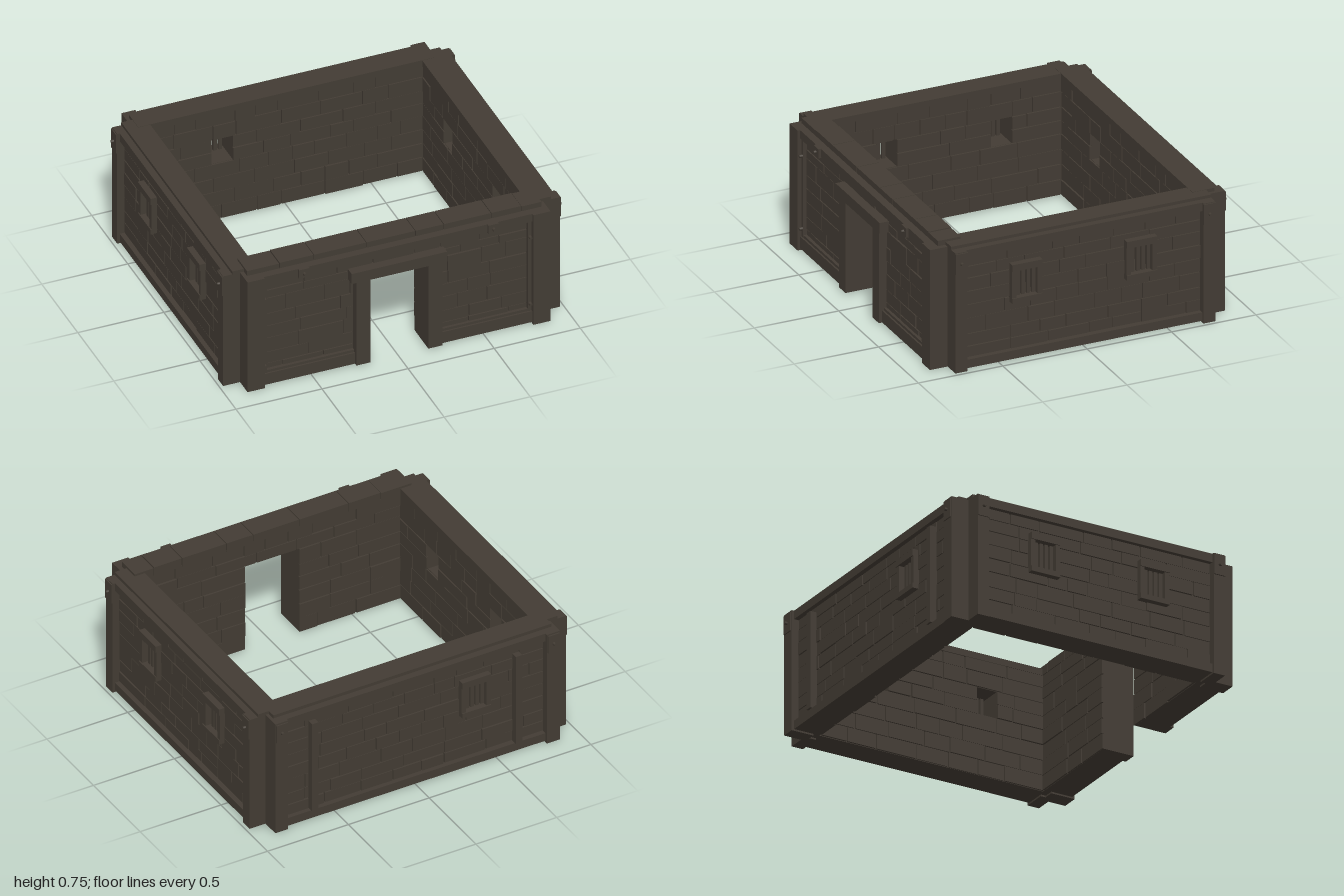
import * as THREE from 'three';
import { mergeGeometries } from 'three/addons/utils/BufferGeometryUtils.js';

const stone = new THREE.MeshStandardMaterial({ color: 0x433c34 });
stone.name = 'dark stone';

// Small seeded generator for the irregular masonry
let seed = 7;
const rnd = () => (seed = (seed * 16807) % 2147483647) / 2147483647;

// Box geometry given by its limits
function span(x0, x1, y0, y1, z0, z1) {
  return new THREE.BoxGeometry(x1 - x0, y1 - y0, z1 - z0)
    .translate((x0 + x1) / 2, (y0 + y1) / 2, (z0 + z1) / 2);
}

function add(group, name, geos) {
  const mesh = new THREE.Mesh(Array.isArray(geos) ? mergeGeometries(geos) : geos, stone);
  mesh.name = name;
  group.add(mesh);
}

// Courses of bricks between u0 and u1, left out where an opening cuts the course
function bricks(u0, u1, rows, openings, zBack, zFace) {
  const out = [], gap = 0.004, dir = Math.sign(zFace - zBack);
  for (let r = 0; r < rows.length - 1; r++) {
    const y0 = rows[r], y1 = rows[r + 1];
    let runs = [[u0, u1]];
    for (const o of openings) {
      if (o.y1 <= y0 + 0.001 || o.y0 >= y1 - 0.001) continue;
      runs = runs.flatMap(([a, b]) => (o.x1 <= a || o.x0 >= b) ? [[a, b]]
        : [[a, o.x0], [o.x1, b]].filter(([c, d]) => d - c > 0.01));
    }
    for (const [a, b] of runs) {
      let x = a;
      while (x < b - 0.001) {
        let next = x + 0.12 + 0.16 * rnd();
        if (b - next < 0.08) next = b;
        const face = zFace - dir * 0.005 * rnd();
        const left = x === a ? 0 : gap, right = next === b ? 0 : gap;
        const low = gap * rnd(), high = gap * rnd();
        out.push(span(x + left, next - right, y0 + low, y1 - high,
          Math.min(zBack, face), Math.max(zBack, face)));
        x = next;
      }
    }
  }
  return out;
}

// Wall body with its window holes and door notch cut through
function wallBody(hw, top, windows, door, z0, z1) {
  const pts = [[-hw, 0.01]];
  if (door) pts.push([door.x0, 0.01], [door.x0, door.y1], [door.x1, door.y1], [door.x1, 0.01]);
  pts.push([hw, 0.01], [hw, top], [-hw, top]);
  const shape = new THREE.Shape(pts.map(p => new THREE.Vector2(...p)));
  for (const w of windows) {
    shape.holes.push(new THREE.Path([[w.x0, w.y0], [w.x0, w.y1], [w.x1, w.y1], [w.x1, w.y0]]
      .map(p => new THREE.Vector2(...p))));
  }
  return new THREE.ExtrudeGeometry(shape, { depth: z1 - z0, bevelEnabled: false }).translate(0, 0, z0);
}

// Iron plate with a round bolt head
function bracket(x, y, w, h, z) {
  return [span(x - w / 2, x + w / 2, y - h / 2, y + h / 2, z - 0.03, z), bolt(x, y, z)];
}
function bolt(x, y, z) {
  return new THREE.CylinderGeometry(0.008, 0.011, 0.03, 8).rotateX(Math.PI / 2).translate(x, y, z);
}

// One wall, facing +z at the given distances from the middle
function makeWall({ name, angle, hw, inner, innerHw, face, col, windowXs = [], door }) {
  const g = new THREE.Group();
  g.name = name;
  const windows = windowXs.map(x => ({ x0: x - 0.063, x1: x + 0.063, y0: 0.37, y1: 0.53 }));
  const openings = door ? [door] : windows;
  const head = door ? 0.55 : 0.53;
  const beam = face + 0.025, post = face + 0.04, c = hw - col;

  add(g, 'wallCore', wallBody(hw - 0.005, 0.7, windows, door, inner + 0.012, face - 0.012));
  add(g, 'outerBricks', bricks(-c, c, [0.06, 0.125, 0.2, 0.29, 0.37, 0.45, head, 0.6, 0.665],
    openings, face - 0.014, face));
  add(g, 'innerBricks', bricks(-innerHw, innerHw, [0.01, 0.1, 0.19, 0.28, 0.37, 0.45, head, 0.62, 0.7],
    openings, inner + 0.014, inner));

  // Corner posts, top beam and bottom beam
  add(g, 'cornerPosts', [-1, 1].map(s =>
    span(Math.min(s * c, s * hw), Math.max(s * c, s * hw), 0, 0.71, inner + 0.05, post)));
  add(g, 'topBeam', span(-c, c, 0.66, 0.71, face - 0.05, beam));
  const runs = door ? [[-c, door.x0], [door.x1, c]] : [[-c, c]];
  add(g, 'bottomBeam', runs.map(([a, b]) => span(a, b, 0.01, door ? 0.08 : 0.06, face - 0.05, beam)));

  // Barred windows
  for (const w of windows) {
    const f = 0.027, z0 = face - 0.03, z1 = face + 0.028;
    add(g, 'windowFrame', [
      span(w.x0 - f, w.x0, w.y0, w.y1, z0, z1),
      span(w.x1, w.x1 + f, w.y0, w.y1, z0, z1),
      span(w.x0 - f, w.x1 + f, w.y1, w.y1 + 0.04, z0, z1 + 0.006),
      span(w.x0 - f, w.x1 + f, w.y0 - 0.03, w.y0, z0, z1 + 0.006)]);
    const bars = [];
    for (let i = 0; i < 4; i++) {
      const x = w.x0 + 0.023 + i * 0.031;
      bars.push(span(x - 0.01, x + 0.01, w.y0, w.y1, face - 0.02, face));
    }
    add(g, 'windowBars', bars);
  }
  g.rotation.y = angle;
  return g;
}

export function createModel() {
  const model = new THREE.Group();
  model.name = 'stoneRoom';
  const both = [-1, 1];

  // Front wall with the doorway
  const door = { x0: -0.168, x1: 0.168, y0: 0, y1: 0.55 };
  const front = makeWall({ name: 'frontWall', angle: 0, hw: 0.88, inner: 0.68, innerHw: 0.79,
    face: 0.835, col: 0.1, door });
  add(front, 'doorJambs', both.map(s => {
    const a = s * 0.168, b = s * 0.25;
    return span(Math.min(a, b), Math.max(a, b), 0.01, 0.55, 0.78, 0.88);
  }));
  add(front, 'doorLintel', span(-0.28, 0.275, 0.55, 0.615, 0.78, 0.887));
  add(front, 'panelTrim', both.flatMap(s => [
    span(s * 0.77 - 0.012, s * 0.77 + 0.012, 0.08, 0.66, 0.8, 0.852),
    span(s * 0.51 - 0.26, s * 0.51 + 0.26, 0.08, 0.095, 0.8, 0.85)]));
  add(front, 'trimBolts', both.flatMap(s => [0.13, 0.56].map(y => bolt(s * 0.77, y, 0.855))));
  add(front, 'beamBrackets', both.flatMap(s => bracket(s * 0.55, 0.683, 0.06, 0.055, 0.875)));

  // Coping stones along the front
  const joints = [-0.86, -0.67, -0.47, -0.165, 0.12, 0.285, 0.56, 0.735, 0.855];
  add(front, 'copingStones', joints.slice(1).map((x, i) =>
    span(joints[i] + 0.002, x - 0.002, 0.69, i === 0 || i === 7 ? 0.741 : 0.745, 0.68, 0.815)));
  model.add(front);

  // Back wall with two posts and one window
  const back = makeWall({ name: 'backWall', angle: Math.PI, hw: 0.88, inner: 0.69, innerHw: 0.79,
    face: 0.835, col: 0.08, windowXs: [0.37] });
  add(back, 'wallPosts', both.map(s =>
    span(s * 0.63 - 0.02, s * 0.63 + 0.02, 0.06, 0.63, 0.8, 0.872)));
  add(back, 'wallCap', span(-0.86, 0.86, 0.69, 0.73, 0.69, 0.82));
  add(back, 'cornerBrackets', both.flatMap(s => bracket(s * 0.84, 0.645, 0.07, 0.11, 0.882)));
  model.add(back);

  // Matching side walls, each with two windows
  for (const s of both) {
    const side = makeWall({ name: s > 0 ? 'leftWall' : 'rightWall', angle: s * Math.PI / 2, hw: 0.77,
      inner: 0.79, innerHw: 0.69, face: 0.938, col: 0.07, windowXs: [-0.34, 0.34] });
    add(side, 'wallCap', span(-0.77, 0.77, 0.69, 0.728, 0.79, 0.925));
    add(side, 'cornerBrackets', both.flatMap(t => bracket(t * 0.735, 0.645, 0.07, 0.12, 0.985)));
    model.add(side);
  }
  return model;
}
